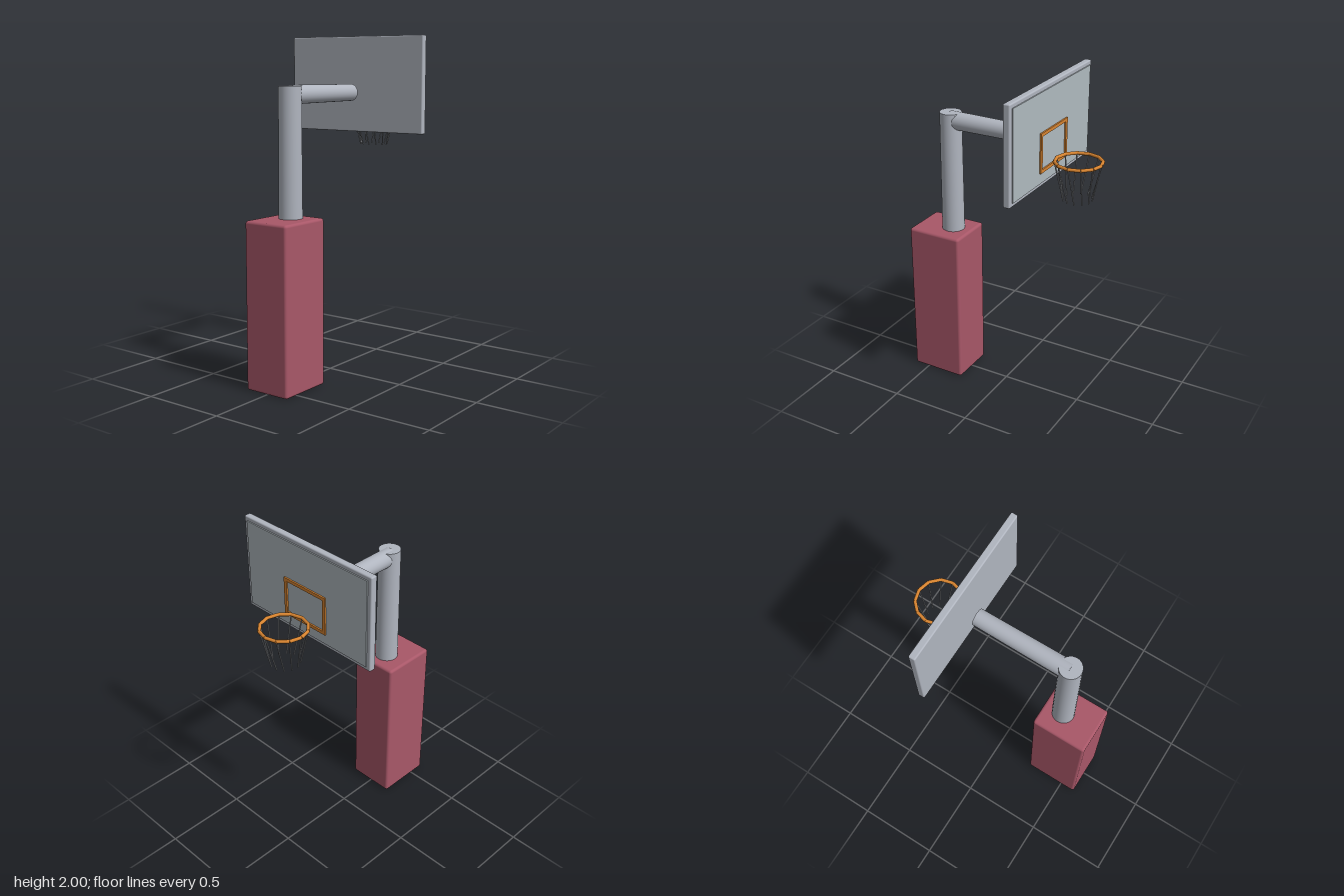
import * as THREE from 'three';
import { RoundedBoxGeometry } from 'three/addons/geometries/RoundedBoxGeometry.js';

const mat = (name, color) => {
  const m = new THREE.MeshStandardMaterial({ color });
  m.name = name;
  return m;
};

export function createModel() {
  const group = new THREE.Group();
  const steel = mat('steel grey', 0xb0b5bf);
  const panelGrey = mat('panel grey', 0xb0babf);
  const red = mat('padding red', 0xa85768);
  const orange = mat('rim orange', 0xd88430);
  const netGrey = mat('net grey', 0x8c8f94);

  const add = (name, geo, material, x = 0, y = 0, z = 0, parent = group) => {
    const m = new THREE.Mesh(geo, material);
    m.name = name;
    m.position.set(x, y, z);
    parent.add(m);
    return m;
  };
  // Cylinder between two points, radius ra at a and rb at b
  const rod = (name, a, b, ra, rb, sides, material, parent = group) => {
    const d = b.clone().sub(a);
    const m = add(name, new THREE.CylinderGeometry(rb, ra, d.length(), sides), material, 0, 0, 0, parent);
    m.position.copy(a).add(b).multiplyScalar(0.5);
    m.quaternion.setFromUnitVectors(new THREE.Vector3(0, 1, 0), d.normalize());
    return m;
  };
  const V = (x, y, z) => new THREE.Vector3(x, y, z);

  // Padded base, upright pole and arm
  add('basePadding', new RoundedBoxGeometry(0.294, 0.974, 0.346, 4, 0.016), red, 0, 0.487, 0.424);
  rod('pole', V(0, 0.9, 0.372), V(0, 1.715, 0.372), 0.069, 0.065, 32, steel);
  rod('arm', V(0, 1.666, 0.372), V(0, 1.666, -0.207), 0.054, 0.05, 32, steel);

  // Backboard with a raised playing face
  add('backboard', new RoundedBoxGeometry(0.95, 0.57, 0.041, 3, 0.008), steel, 0, 1.715, -0.27);
  add('boardPanel', new THREE.BoxGeometry(0.9, 0.52, 0.009), panelGrey, 0, 1.715, -0.2925);

  // Target rectangle: an open frame on the panel
  const frame = new THREE.Shape();
  const rect = (path, w, h) => {
    path.moveTo(-w, -h);
    path.lineTo(w, -h);
    path.lineTo(w, h);
    path.lineTo(-w, h);
    path.closePath();
    return path;
  };
  rect(frame, 0.157, 0.116);
  frame.holes.push(rect(new THREE.Path(), 0.137, 0.096));
  add('targetRectangle', new THREE.ExtrudeGeometry(frame, { depth: 0.01, bevelEnabled: false }),
    orange, 0, 1.634, -0.306);

  // Rim of twelve straight tubes, and the net strands hanging from its joints
  const rim = new THREE.Group();
  rim.name = 'rim';
  const net = new THREE.Group();
  net.name = 'net';
  group.add(rim, net);
  const ring = (deg, r, y) => {
    const a = THREE.MathUtils.degToRad(deg);
    return V(r * Math.sin(a), y, -0.457 - r * Math.cos(a));
  };
  for (let i = 0; i < 12; i++) {
    const a = i * 30;
    rod('rimSegment', ring(a, 0.134, 1.567), ring(a + 30, 0.134, 1.567), 0.01, 0.01, 10, orange, rim);
    rod('netStrand', ring(a, 0.134, 1.565), ring(a - 13, 0.083, 1.34), 0.004, 0.004, 6, netGrey, net);
  }
  return group;
}
